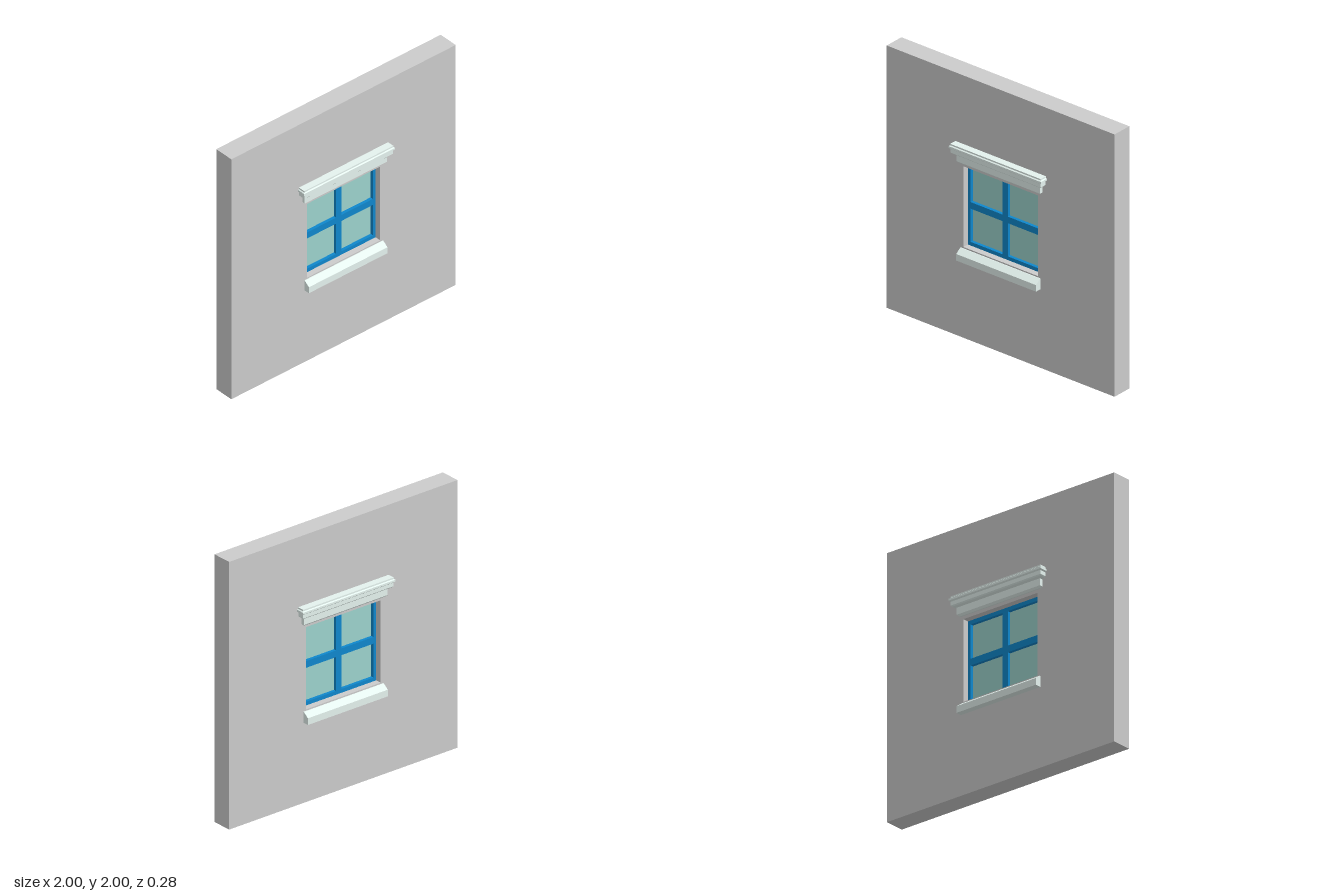
import * as THREE from 'three';

const material = (color) => new THREE.MeshStandardMaterial({ color });

function addMesh(group, name, geometry, mat) {
  const mesh = new THREE.Mesh(geometry, mat);
  mesh.name = name;
  group.add(mesh);
  return mesh;
}

// Box given by its limits in x and y, centred on z = 0
function slab(x0, x1, y0, y1, depth) {
  return new THREE.BoxGeometry(x1 - x0, y1 - y0, depth)
    .translate((x0 + x1) / 2, (y0 + y1) / 2, 0);
}

// Stacked rectangles [y, halfX, halfZ] joined into a closed, mitred moulding
function moulding(levels) {
  const pos = [];
  const corners = ([y, hx, hz]) => [[-hx, y, hz], [hx, y, hz], [hx, y, -hz], [-hx, y, -hz]];
  const quad = (a, b, c, d) => pos.push(...a, ...b, ...c, ...a, ...c, ...d);
  const rings = levels.map(corners);
  for (let i = 0; i < rings.length - 1; i++) {
    const lo = rings[i], hi = rings[i + 1];
    for (let k = 0; k < 4; k++) {
      const n = (k + 1) % 4;
      quad(lo[k], lo[n], hi[n], hi[k]);
    }
  }
  const bottom = rings[0], top = rings[rings.length - 1];
  quad(bottom[3], bottom[2], bottom[1], bottom[0]);
  quad(top[0], top[1], top[2], top[3]);
  const geometry = new THREE.BufferGeometry();
  geometry.setAttribute('position', new THREE.Float32BufferAttribute(pos, 3));
  geometry.computeVertexNormals();
  return geometry;
}

export function createModel() {
  const model = new THREE.Group();
  model.name = 'windowWall';
  const grey = material(0xcccccc);
  const stone = material(0xe4f2ee);
  const blue = material(0x0f87cc);
  const glass = material(0x9cd2cc);

  const wallDepth = 0.155;
  const W = 0.327, Y0 = 0.692, Y1 = 1.307; // window opening

  // Wall with the opening cut through
  const wall = new THREE.Shape([[-1, 0], [1, 0], [1, 2], [-1, 2]].map((p) => new THREE.Vector2(...p)));
  wall.holes.push(new THREE.Path(
    [[-W, Y0], [-W, Y1], [W, Y1], [W, Y0]].map((p) => new THREE.Vector2(...p))));
  addMesh(model, 'wall',
    new THREE.ExtrudeGeometry(wall, { depth: wallDepth, bevelEnabled: false })
      .translate(0, 0, -wallDepth / 2), grey);

  // Window frame: one shape with four pane holes
  const frame = new THREE.Shape(
    [[-W, Y0], [W, Y0], [W, Y1], [-W, Y1]].map((p) => new THREE.Vector2(...p)));
  const panes = new THREE.Group();
  panes.name = 'panes';
  for (const [x0, x1] of [[-0.303, -0.024], [0.024, 0.303]]) {
    for (const [y0, y1] of [[0.72, 0.973], [1.023, 1.278]]) {
      frame.holes.push(new THREE.Path(
        [[x0, y0], [x0, y1], [x1, y1], [x1, y0]].map((p) => new THREE.Vector2(...p))));
      addMesh(panes, 'pane', slab(x0, x1, y0, y1, 0.012), glass);
    }
  }
  const frameDepth = 0.06;
  addMesh(model, 'windowFrame',
    new THREE.ExtrudeGeometry(frame, { depth: frameDepth, bevelEnabled: false })
      .translate(0, 0, -frameDepth / 2), blue);
  model.add(panes);

  // Cornice above the window, stepping out on both faces and at the ends
  const steps = [
    [1.33, 0.088], [1.343, 0.102], [1.395, 0.102], [1.402, 0.122], [1.41, 0.13],
    [1.438, 0.13], [1.446, 0.14], [1.46, 0.14], [1.466, 0.132], [1.477, 0.132],
  ];
  addMesh(model, 'cornice', moulding(steps.map(([y, z]) => [y, z + 0.265, z])), stone);

  // Sill below the window with sloping tops on both faces
  const sill = new THREE.Shape([
    [-0.125, 0.6], [0.125, 0.6], [0.125, 0.65], [0.083, 0.682], [-0.083, 0.682], [-0.125, 0.65],
  ].map((p) => new THREE.Vector2(...p)));
  addMesh(model, 'sill',
    new THREE.ExtrudeGeometry(sill, { depth: 0.7, bevelEnabled: false })
      .translate(0, 0, -0.35).rotateY(Math.PI / 2), stone);

  return model;
}
